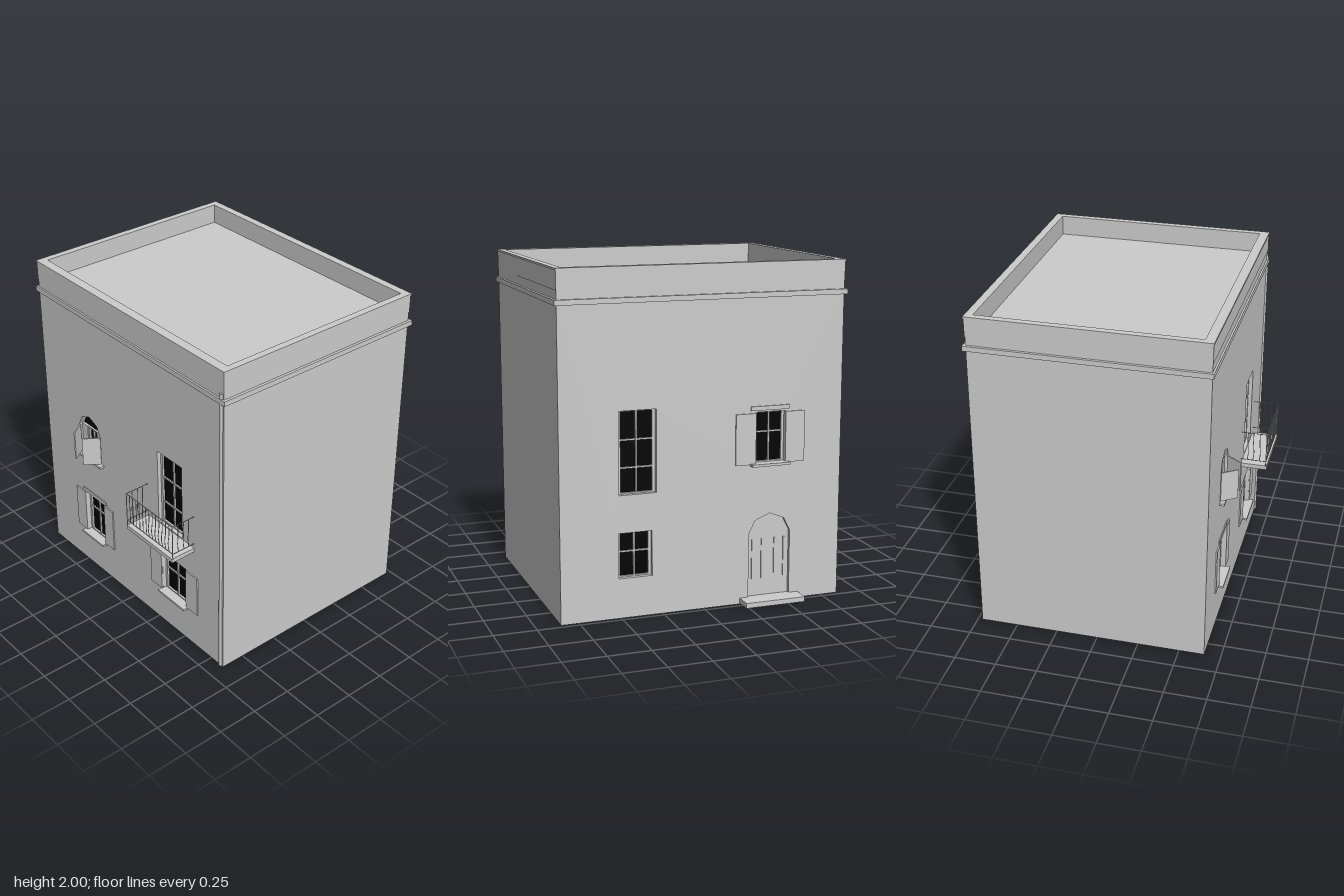
import * as THREE from 'three';

const plaster = new THREE.MeshStandardMaterial({ color: 0xcccccc });
plaster.name = 'light grey plaster';
const dark = new THREE.MeshStandardMaterial({ color: 0x020202 });
dark.name = 'black glass';

const FRONT = 0.651, BACK = -0.722, RECESS = 0.042, HALF = 0.856, ROOF = 1.88;

// Box given by its limits on each axis
function block(parent, name, x0, x1, y0, y1, z0, z1, mat = plaster) {
  const m = new THREE.Mesh(new THREE.BoxGeometry(x1 - x0, y1 - y0, Math.abs(z1 - z0)), mat);
  m.position.set((x0 + x1) / 2, (y0 + y1) / 2, (z0 + z1) / 2);
  m.name = name;
  parent.add(m);
  return m;
}

const points = list => list.map(([x, y]) => new THREE.Vector2(x, y));
const rect = (x0, x1, y0, y1) => points([[x0, y0], [x1, y0], [x1, y1], [x0, y1]]);

// Opening with a coarsely faceted arched head
function arch(x0, x1, y0, spring, top) {
  const c = (x0 + x1) / 2, w = (x1 - x0) / 2, h = top - spring;
  return points([[x0, y0], [x1, y0], [x1, spring], [c + w * 0.7, spring + h * 0.68],
    [c, top], [c - w * 0.7, spring + h * 0.68], [x0, spring]]);
}

function extrude(parent, name, outline, holes, depth, z, mat = plaster) {
  const s = new THREE.Shape(outline);
  s.holes = holes.map(h => new THREE.Path(h));
  const m = new THREE.Mesh(new THREE.ExtrudeGeometry(s, { depth, bevelEnabled: false }), mat);
  m.position.z = z;
  m.name = name;
  parent.add(m);
  return m;
}

// Horizontal rectangular ring between heights y0 and y1
function ring(parent, name, outer, inner, y0, y1) {
  const r = ([x0, x1, z0, z1]) => rect(x0, x1, -z1, -z0);
  const m = extrude(parent, name, r(outer), [r(inner)], y1 - y0, 0);
  m.rotation.x = -Math.PI / 2;
  m.position.y = y0;
}

// Glass, frame and glazing bars inside an opening; s = 1 on the front, -1 on the back
function glazing(parent, s, x0, x1, y0, y1, bars, mid) {
  const g = new THREE.Group();
  g.name = 'window';
  const face = s > 0 ? FRONT : BACK;
  const z = d => face - s * d;
  const f = 0.016, b = 0.005;
  block(g, 'glass', x0, x1, y0, y1, z(RECESS), z(RECESS - 0.006), dark);
  for (const x of [x0, x1 - f]) block(g, 'frameSide', x, x + f, y0, y1, z(RECESS), z(0.024));
  for (const y of [y0, y1 - 0.008]) block(g, 'frameRail', x0, x1, y, y + 0.008, z(RECESS), z(0.024));
  block(g, 'mullion', mid - b, mid + b, y0, y1, z(RECESS), z(0.026));
  for (const y of bars) block(g, 'glazingBar', x0, x1, y - b, y + b, z(RECESS), z(0.028));
  parent.add(g);
}

// Ledge standing out from a wall
function ledge(parent, name, s, x0, x1, y0, y1, out) {
  const face = s > 0 ? FRONT : BACK;
  block(parent, name, x0, x1, y0, y1, face - s * 0.01, face + s * out);
}

// Pair of shutters folded flat against the wall
function flatShutters(parent, s, a0, a1, b0, b1, y0, y1) {
  ledge(parent, 'shutter', s, a0, a1, y0, y1, 0.008);
  ledge(parent, 'shutter', s, b0, b1, y0, y1, 0.008);
}

function bar(parent, name, pts, r) {
  const curve = new THREE.CatmullRomCurve3(pts.map(p => new THREE.Vector3(...p)));
  const m = new THREE.Mesh(new THREE.TubeGeometry(curve, pts.length > 2 ? 10 : 1, r, 5), plaster);
  m.name = name;
  parent.add(m);
}

function balcony(parent) {
  const g = new THREE.Group();
  g.name = 'balcony';
  const x0 = 0.17, x1 = 0.597, z1 = 0.807, low = 0.755, top = 0.943;
  block(g, 'balconySlab', 0.173, x1, 0.695, 0.722, FRONT - 0.01, 0.812);
  for (const y of [low, top]) {
    bar(g, 'frontRail', [[x0, y, z1], [x1, y, z1]], 0.003);
    for (const x of [x0, x1]) bar(g, 'sideRail', [[x, y, FRONT], [x, y, z1]], 0.0025);
  }
  // Balusters bow slightly near the bottom
  const baluster = (x, z, dx, dz) => bar(g, 'baluster', [[x, low, z], [x + dx, low + 0.05, z + dz],
    [x, low + 0.12, z], [x, top, z]], 0.0024);
  for (let i = 1; i < 14; i++) baluster(x0 + (x1 - x0) * i / 14, z1, i < 7 ? 0.006 : -0.006, 0.003);
  for (const x of [x0, x1]) {
    for (const z of [0.69, 0.725, 0.765]) baluster(x, z, 0, 0.005);
    bar(g, 'cornerPost', [[x, 0.72, z1], [x, top, z1]], 0.003);
  }
  parent.add(g);
}

export function createModel() {
  const house = new THREE.Group();
  house.name = 'house';

  // Walls with real openings around a solid core
  block(house, 'core', -HALF, HALF, 0, ROOF, BACK + RECESS, FRONT - RECESS);
  const wall = rect(-HALF, HALF, 0, ROOF);
  extrude(house, 'frontWall', wall, [
    arch(-0.51, -0.295, 0.84, 1.03, 1.125), rect(0.27, 0.49, 0.73, 1.22),
    rect(-0.48, -0.285, 0.245, 0.54), rect(0.295, 0.52, 0.245, 0.52),
  ], RECESS, FRONT - RECESS);
  const doorway = arch(-0.54, -0.28, 0.035, 0.42, 0.535);
  extrude(house, 'backWall', wall, [
    rect(0.29, 0.51, 0.72, 1.2), rect(0.315, 0.515, 0.235, 0.5),
    rect(-0.5, -0.315, 0.84, 1.14), doorway,
  ], RECESS, BACK);

  // Parapet around the flat roof, with cornice and coping
  const inner = [-0.82, 0.82, -0.682, 0.6];
  ring(house, 'parapet', [-0.858, 0.858, -0.725, 0.653], inner, ROOF, 1.988);
  ring(house, 'coping', [-0.862, 0.862, -0.729, 0.656], inner, 1.988, 2);
  ring(house, 'cornice', [-0.873, 0.872, -0.739, 0.662], [-0.84, 0.84, -0.7, 0.63], 1.8, 1.83);

  // Drainpipe at the front corner
  const pipe = new THREE.Mesh(new THREE.CylinderGeometry(0.014, 0.014, 1.86, 10), plaster);
  pipe.position.set(0.833, 0.93, 0.647);
  pipe.name = 'drainpipe';
  house.add(pipe);

  // Arched front window with half-open shutters
  extrude(house, 'archGlass', arch(-0.51, -0.295, 0.84, 1.03, 1.125), [], 0.006, FRONT - RECESS, dark);
  glazing(house, 1, -0.455, -0.35, 0.84, 1.03, [0.935, 1.024], -0.402);
  for (const [x0, x1] of [[-0.51, -0.453], [-0.352, -0.295]]) block(house, 'jamb', x0, x1, 0.84, 1.03, FRONT - RECESS, FRONT - 0.02);
  for (const s of [-1, 1]) {
    const hinge = new THREE.Group();
    hinge.name = 'openShutter';
    hinge.position.set(-0.4 + s * 0.104, 0, FRONT);
    hinge.rotation.y = s * 0.95;
    block(hinge, 'shutterPanel', s > 0 ? -0.11 : 0, s > 0 ? 0 : 0.11, 0.842, 1.03, -0.004, 0.004);
    house.add(hinge);
  }
  ledge(house, 'sill', 1, -0.53, -0.27, 0.825, 0.84, 0.03);

  // Balcony window
  glazing(house, 1, 0.27, 0.49, 0.73, 1.22, [0.87, 1.04], 0.383);
  balcony(house);

  // Lower front windows
  glazing(house, 1, -0.48, -0.285, 0.245, 0.54, [0.425], -0.384);
  flatShutters(house, 1, -0.578, -0.48, -0.285, -0.195, 0.245, 0.535);
  ledge(house, 'lintel', 1, -0.503, -0.263, 0.542, 0.567, 0.006);
  ledge(house, 'sill', 1, -0.5, -0.28, 0.233, 0.246, 0.035);
  glazing(house, 1, 0.295, 0.52, 0.245, 0.52, [0.4], 0.407);
  flatShutters(house, 1, 0.188, 0.293, 0.522, 0.627, 0.245, 0.517);
  ledge(house, 'sill', 1, 0.29, 0.535, 0.233, 0.246, 0.035);

  // Back windows
  glazing(house, -1, 0.29, 0.51, 0.72, 1.2, [0.87, 1.03], 0.4);
  glazing(house, -1, 0.315, 0.515, 0.235, 0.5, [0.385], 0.415);
  glazing(house, -1, -0.5, -0.315, 0.84, 1.14, [1.02], -0.407);
  flatShutters(house, -1, -0.62, -0.5, -0.315, -0.19, 0.835, 1.135);
  ledge(house, 'lintel', -1, -0.522, -0.283, 1.15, 1.175, 0.008);
  ledge(house, 'sill', -1, -0.522, -0.283, 0.825, 0.84, 0.036);

  // Back door with narrow battens, and its step
  extrude(house, 'door', doorway, [], 0.022, BACK + 0.02);
  for (const x of [-0.51, -0.45, -0.37, -0.31]) block(house, 'doorBatten', x - 0.004, x + 0.004, 0.14, 0.38, BACK + 0.014, BACK + 0.022);
  block(house, 'doorStep', -0.597, -0.227, 0.006, 0.036, -0.826, BACK + 0.01);

  return house;
}
